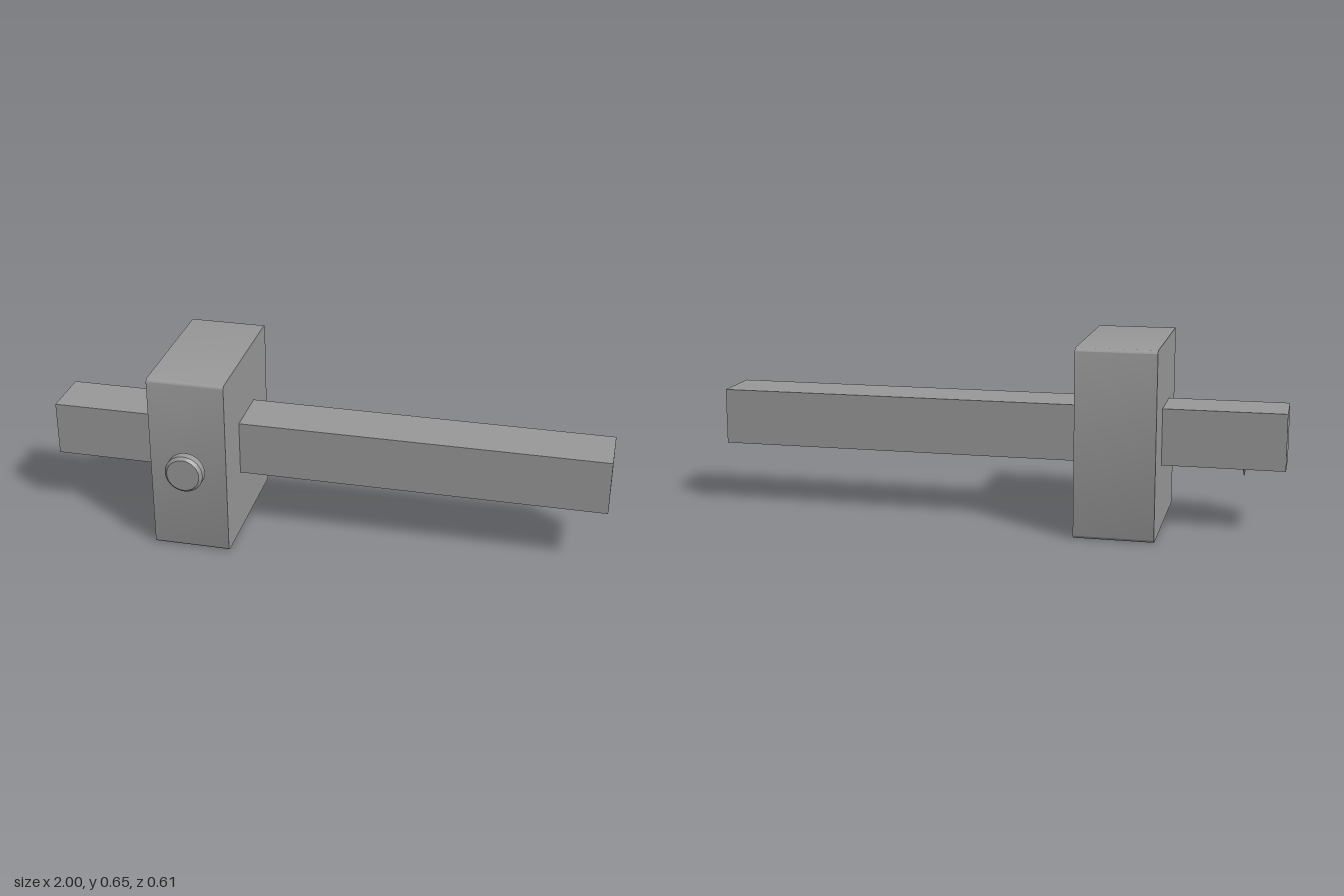
import * as THREE from 'three';
import { toCreasedNormals } from 'three/addons/utils/BufferGeometryUtils.js';

export function createModel() {
  const model = new THREE.Group();
  model.name = 'markingGauge';
  const grey = new THREE.MeshStandardMaterial({ color: 0x999999 });
  grey.name = 'grey';

  const add = (name, geometry, x, y, z) => {
    const mesh = new THREE.Mesh(geometry, grey);
    mesh.name = name;
    mesh.position.set(x, y, z);
    model.add(mesh);
    return mesh;
  };

  const beamY = 0.326, beamZ = -0.03, beamSize = 0.197;
  const stockX = -0.445, stockWidth = 0.274;

  // Long square beam passing through the stock
  add('beam', new THREE.BoxGeometry(2, beamSize, beamSize), 0, beamY, beamZ);

  // Stock: rounded profile in the z-y plane, extruded along x
  const w = 0.271, h = 0.325, r = 0.015;
  const profile = new THREE.Shape();
  [[w, h, 0], [-w, h, 1], [-w, -h, 2], [w, -h, 3]].forEach(([x, y, quarter]) => {
    const start = quarter * Math.PI / 2;
    profile.absarc(x - Math.sign(x) * r, y - Math.sign(y) * r, r, start, start + Math.PI / 2, false);
  });
  profile.closePath();
  const stock = new THREE.ExtrudeGeometry(profile, {
    depth: stockWidth, bevelEnabled: false, curveSegments: 6
  });
  stock.translate(0, 0, -stockWidth / 2).rotateY(Math.PI / 2);
  add('stock', toCreasedNormals(stock, Math.PI / 6), stockX, h, -0.031);

  // Thumbscrew: stem and chamfered knob turned around z
  const turned = [
    [0, -0.02], [0.03, -0.02], [0.03, 0.016], [0.058, 0.016],
    [0.068, 0.026], [0.068, 0.054], [0.058, 0.064], [0, 0.064]
  ].map(([x, y]) => new THREE.Vector2(x, y));
  const screw = new THREE.LatheGeometry(turned, 48).rotateX(Math.PI / 2);
  add('thumbscrew', toCreasedNormals(screw, Math.PI / 6), stockX, beamY, 0.24);

  // Scribing pin pointing down from the beam
  const pin = new THREE.ConeGeometry(0.01, 0.055, 16).rotateX(Math.PI);
  add('scribingPin', pin, -0.857, 0.205, beamZ);

  return model;
}
